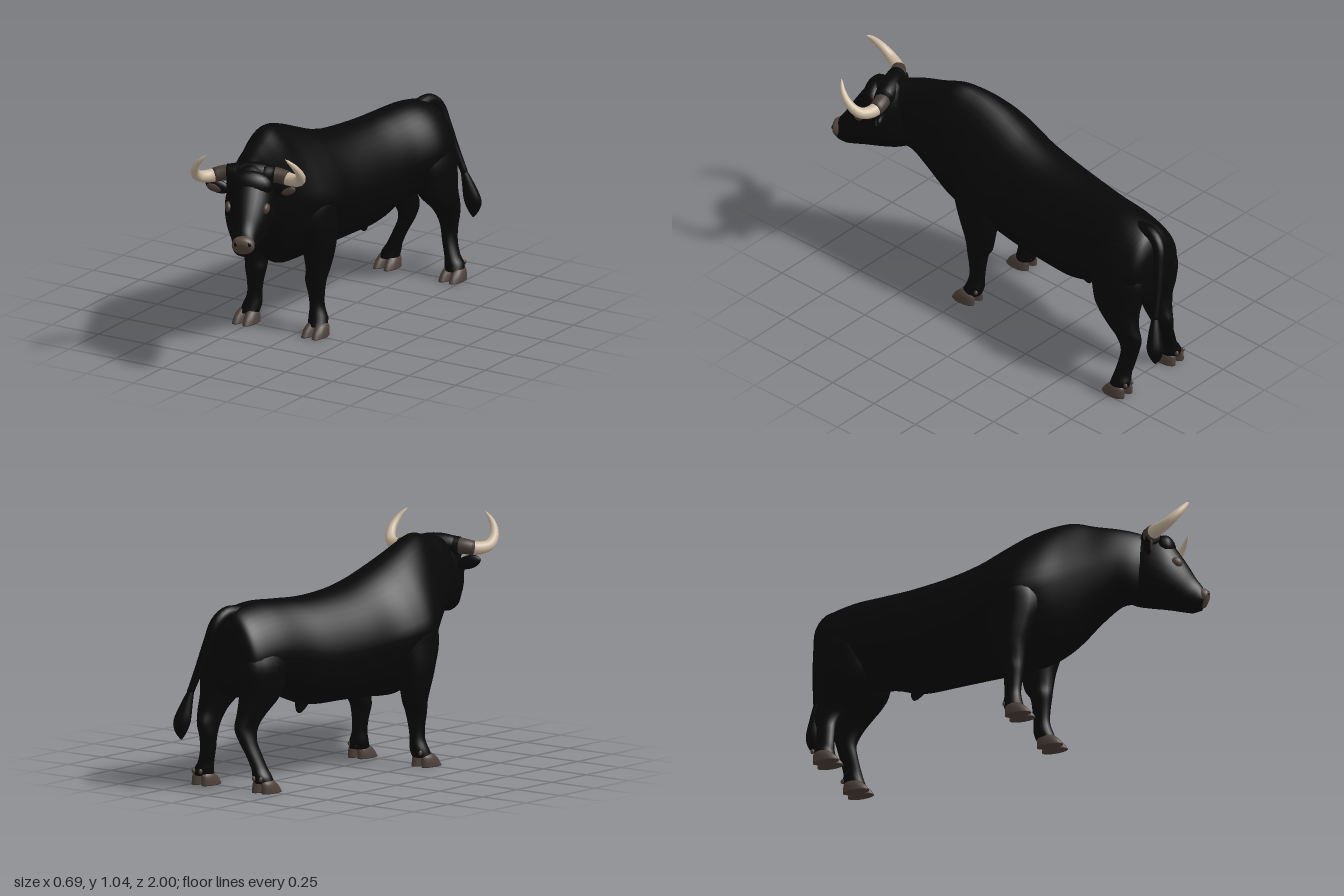
import * as THREE from 'three';

const paint = (name, color) => {
  const m = new THREE.MeshStandardMaterial({ color });
  m.name = name;
  return m;
};
const V = (x, y, z) => new THREE.Vector3(x, y, z);

// Smoothly resample rows of numbers (Catmull-Rom on every column)
function smooth(rows, steps = 4) {
  const out = [];
  const at = i => rows[Math.min(Math.max(i, 0), rows.length - 1)];
  for (let i = 0; i < rows.length - 1; i++) {
    for (let s = 0; s < steps; s++) {
      const t = s / steps;
      out.push(rows[i].map((b, k) => {
        const a = at(i - 1)[k], c = at(i + 1)[k], d = at(i + 2)[k];
        return b + 0.5 * t * (c - a + t * (2 * a - 5 * b + 4 * c - d + t * (3 * (b - c) + d - a)));
      }));
    }
  }
  out.push(rows[rows.length - 1]);
  return out;
}

// Skin over rings { c, u, v, k, q }: u x v points along the path,
// k narrows the upper half and q the lower half
function loft(rings, sides = 28) {
  const pos = [], index = [], n = rings.length;
  for (const { c, u, v, k = 0, q = 0 } of rings) {
    for (let j = 0; j < sides; j++) {
      const a = (j / sides) * Math.PI * 2, s = Math.sin(a);
      const w = Math.cos(a) * (1 - k * Math.max(0, s) - q * Math.max(0, -s));
      pos.push(c.x + u.x * w + v.x * s, c.y + u.y * w + v.y * s, c.z + u.z * w + v.z * s);
    }
  }
  for (let i = 0; i < n - 1; i++) {
    for (let j = 0; j < sides; j++) {
      const a = i * sides + j, b = i * sides + (j + 1) % sides;
      index.push(a, b, a + sides, b, b + sides, a + sides);
    }
  }
  const first = rings[0].c, last = rings[n - 1].c, f = n * sides, e = (n - 1) * sides;
  pos.push(first.x, first.y, first.z, last.x, last.y, last.z);
  for (let j = 0; j < sides; j++) {
    const next = (j + 1) % sides;
    index.push(f, next, j, f + 1, e + j, e + next);
  }
  const g = new THREE.BufferGeometry();
  g.setAttribute('position', new THREE.Float32BufferAttribute(pos, 3));
  g.setIndex(index);
  g.computeVertexNormals();
  return g;
}

// Upright limb from rows [y, x, z, radiusX, radiusZ], listed downwards
const limb = (rows, sides = 20) => loft(smooth(rows).map(([y, x, z, rx, rz]) =>
  ({ c: V(x, y, z), u: V(rx, 0, 0), v: V(0, 0, rz) })), sides);

// Tapered tube along part of a curve
function taper(points, radius, from = 0, to = 1, n = 24) {
  const curve = new THREE.CatmullRomCurve3(points);
  const frames = curve.computeFrenetFrames(n);
  const rings = [];
  for (let i = Math.round(from * n); i <= Math.round(to * n); i++) {
    const r = radius(i / n);
    rings.push({
      c: curve.getPointAt(i / n),
      u: frames.normals[i].clone().multiplyScalar(r),
      v: frames.binormals[i].clone().multiplyScalar(r)
    });
  }
  return loft(rings, 18);
}

export function createModel() {
  const black = paint('black coat', 0x070707);
  const brown = paint('dark brown horn base', 0x453a34);
  const hoofBrown = paint('hoof brown', 0x4d4039);
  const skin = paint('muzzle skin', 0x56473f);
  const ivory = paint('ivory horn', 0xcbb9a0);

  const model = new THREE.Group();
  model.name = 'bull';
  const add = (parent, name, geometry, material) => {
    const m = new THREE.Mesh(geometry, material);
    m.name = name;
    parent.add(m);
    return m;
  };
  const blob = (parent, name, material, p, s) => {
    const m = add(parent, name, new THREE.SphereGeometry(1, 20, 14), material);
    m.position.set(...p);
    m.scale.set(...s);
    return m;
  };

  // Body and neck: z, top, bottom, centre x, half width, upper and lower narrowing
  const trunk = [
    [-0.85, 0.69, 0.56, 0.015, 0.06, 0, 0],
    [-0.835, 0.76, 0.48, 0.015, 0.13, 0.05, 0],
    [-0.79, 0.818, 0.42, 0.015, 0.17, 0.15, 0],
    [-0.66, 0.845, 0.42, 0.01, 0.193, 0.15, 0],
    [-0.5, 0.84, 0.39, -0.02, 0.187, 0.12, 0],
    [-0.35, 0.835, 0.337, -0.045, 0.203, 0.1, 0.05],
    [-0.15, 0.85, 0.33, -0.065, 0.218, 0.1, 0.1],
    [0, 0.885, 0.325, -0.077, 0.226, 0.15, 0.2],
    [0.12, 0.93, 0.315, -0.09, 0.248, 0.25, 0.4],
    [0.22, 0.97, 0.315, -0.095, 0.248, 0.3, 0.45],
    [0.32, 1.003, 0.34, -0.085, 0.218, 0.3, 0.35],
    [0.42, 1.02, 0.41, -0.06, 0.172, 0.25, 0.15],
    [0.52, 0.997, 0.52, -0.035, 0.138, 0.2, 0],
    [0.62, 0.977, 0.6, -0.01, 0.113, 0.1, 0],
    [0.7, 0.958, 0.615, 0.025, 0.105, 0.1, 0],
    [0.76, 0.93, 0.65, 0.055, 0.085, 0.1, 0]
  ];
  add(model, 'body', loft(smooth(trunk, 5).map(([z, t, b, x, w, k, q]) =>
    ({ c: V(x, (t + b) / 2, z), u: V(w, 0, 0), v: V(0, (t - b) / 2, 0), k, q })), 40), black);
  add(model, 'bellySheath', limb([
    [0.38, -0.04, -0.34, 0.035, 0.06], [0.335, -0.04, -0.36, 0.026, 0.035],
    [0.31, -0.04, -0.373, 0.015, 0.019], [0.3, -0.04, -0.376, 0.006, 0.008]
  ], 16), black);

  // Cloven hoof with two claws and two dewclaws
  const hoof = (name, x, z) => {
    const foot = new THREE.Group();
    foot.name = name;
    foot.position.set(x, 0, z);
    for (const s of [-1, 1]) {
      add(foot, 'claw', limb([
        [0.06, s * 0.019, 0.006, 0.018, 0.028],
        [0.048, s * 0.024, 0.008, 0.024, 0.043],
        [0.025, s * 0.027, 0.018, 0.027, 0.056],
        [0, s * 0.028, 0.026, 0.028, 0.064]
      ], 16), hoofBrown);
      blob(foot, 'dewclaw', hoofBrown, [s * 0.02, 0.068, -0.043], [0.008, 0.012, 0.01]);
    }
    model.add(foot);
  };

  // Front legs: y, sideways offset, z, radii
  const foreleg = [
    [0.78, 0.11, 0.19, 0.04, 0.06], [0.66, 0.152, 0.195, 0.083, 0.115],
    [0.56, 0.163, 0.2, 0.082, 0.125], [0.45, 0.168, 0.19, 0.077, 0.1],
    [0.37, 0.167, 0.185, 0.066, 0.08], [0.3, 0.164, 0.187, 0.051, 0.068],
    [0.25, 0.16, 0.2, 0.049, 0.05], [0.19, 0.163, 0.2, 0.037, 0.042],
    [0.13, 0.167, 0.2, 0.033, 0.038], [0.08, 0.175, 0.205, 0.043, 0.045],
    [0.045, 0.182, 0.218, 0.045, 0.048]
  ];
  // Hind legs: y, z, radii, left x, right x
  const hindleg = [
    [0.76, -0.68, 0.05, 0.09, 0.1, -0.07], [0.6, -0.695, 0.085, 0.145, 0.122, -0.095],
    [0.5, -0.705, 0.085, 0.137, 0.133, -0.092], [0.42, -0.715, 0.075, 0.117, 0.145, -0.08],
    [0.35, -0.755, 0.055, 0.087, 0.158, -0.068], [0.29, -0.787, 0.04, 0.072, 0.155, -0.062],
    [0.23, -0.795, 0.036, 0.048, 0.152, -0.078], [0.17, -0.787, 0.032, 0.043, 0.16, -0.105],
    [0.11, -0.778, 0.034, 0.042, 0.178, -0.13], [0.075, -0.777, 0.043, 0.047, 0.19, -0.145],
    [0.045, -0.77, 0.045, 0.048, 0.196, -0.152]
  ];
  for (const [side, s] of [['left', 1], ['right', -1]]) {
    add(model, side + 'FrontLeg', limb(foreleg.map(([y, x, z, rx, rz]) =>
      [y, -0.095 + s * x, z, rx, rz])), black);
    hoof(side + 'FrontHoof', -0.095 + s * 0.185, 0.218);
    add(model, side + 'HindLeg', limb(hindleg.map(([y, z, rx, rz, l, r]) =>
      [y, s > 0 ? l : r, z, rx, rz])), black);
    hoof(side + 'HindHoof', s > 0 ? 0.195 : -0.154, -0.78);
  }

  // Tail and tuft
  add(model, 'tail', taper([
    V(0.02, 0.8, -0.72), V(0.03, 0.808, -0.82), V(0.045, 0.77, -0.872),
    V(0.07, 0.68, -0.897), V(0.105, 0.56, -0.92), V(0.143, 0.45, -0.937)
  ], t => 0.034 - 0.018 * t), black);
  add(model, 'tailTuft', limb([
    [0.47, 0.137, -0.933, 0.012, 0.012], [0.4, 0.155, -0.947, 0.028, 0.026],
    [0.32, 0.17, -0.962, 0.042, 0.036], [0.27, 0.172, -0.968, 0.028, 0.025],
    [0.235, 0.172, -0.965, 0.004, 0.004]
  ], 16), black);

  // Head, turned towards its left
  const head = new THREE.Group();
  head.name = 'head';
  head.position.set(0.06, 0, 0.742);
  head.rotation.y = 0.41;
  model.add(head);

  // Skull rows: top z, top y, bottom z, bottom y, half width
  const skull = rows => loft(smooth(rows).map(([zt, yt, zb, yb, w]) => ({
    c: V(0, (yt + yb) / 2, (zt + zb) / 2), u: V(w, 0, 0), v: V(0, (yt - yb) / 2, (zt - zb) / 2)
  })));
  add(head, 'skull', skull([
    [-0.06, 0.95, -0.11, 0.63, 0.09], [0.02, 0.96, -0.06, 0.61, 0.108],
    [0.08, 0.93, 0, 0.602, 0.113], [0.125, 0.87, 0.05, 0.597, 0.105],
    [0.17, 0.8, 0.1, 0.59, 0.085], [0.205, 0.74, 0.15, 0.58, 0.063],
    [0.235, 0.697, 0.19, 0.577, 0.055], [0.25, 0.66, 0.228, 0.59, 0.044]
  ]), black);
  // Broad poll between the horns, and the brow
  blob(head, 'poll', black, [0, 0.912, -0.005], [0.13, 0.053, 0.05]);
  blob(head, 'forehead', black, [0, 0.875, 0.06], [0.105, 0.07, 0.055]);
  add(head, 'muzzle', skull([
    [0.226, 0.694, 0.21, 0.612, 0.049], [0.248, 0.687, 0.232, 0.603, 0.052],
    [0.262, 0.675, 0.247, 0.609, 0.045], [0.267, 0.658, 0.258, 0.63, 0.02]
  ]), skin);

  for (const [side, s] of [['left', 1], ['right', -1]]) {
    blob(head, side + 'Nostril', black, [s * 0.031, 0.657, 0.257], [0.009, 0.011, 0.008]);
    const eye = blob(head, side + 'Eye', hoofBrown, [s * 0.086, 0.785, 0.114], [0.016, 0.024, 0.028]);
    eye.rotation.set(0.4, s * -0.2, 0);

    // Horn with a black root and a short dark base
    const path = [
      [0.06, 0.912, 0], [0.13, 0.907, 0], [0.185, 0.897, 0.02], [0.23, 0.908, 0.062],
      [0.241, 0.95, 0.11], [0.22, 1.0, 0.148], [0.182, 1.042, 0.168]
    ].map(([x, y, z]) => V(s * x, y, z));
    const radius = t => 0.037 * Math.pow(1 - t, 0.6) + 0.001;
    add(head, side + 'HornRoot', taper(path, t => radius(t) + 0.006, 0, 0.125), black);
    add(head, side + 'HornBase', taper(path, t => radius(t) + 0.002, 0.083, 0.29), brown);
    add(head, side + 'Horn', taper(path, radius, 0.25, 1), ivory);

    // Drooping ear with a brown inner face
    const ear = new THREE.Group();
    ear.name = side + 'Ear';
    ear.position.set(s * 0.155, 0.838, -0.015);
    ear.rotation.z = s * 0.3;
    head.add(ear);
    blob(ear, 'earShell', black, [0, 0, 0], [0.058, 0.031, 0.018]);
    blob(ear, 'earInner', brown, [s * 0.012, -0.008, 0.012], [0.036, 0.019, 0.009]);
  }
  return model;
}
